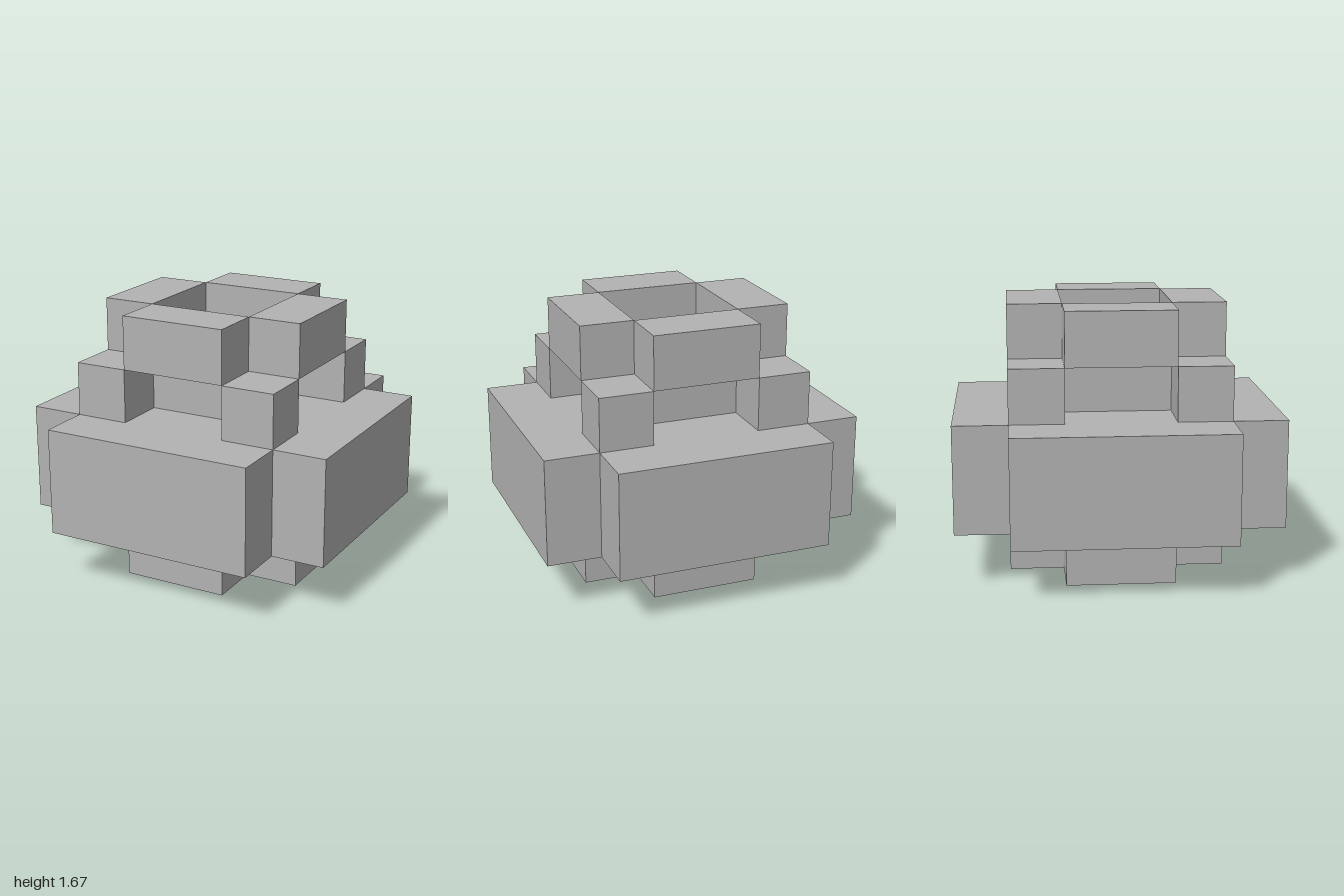
import * as THREE from 'three';

const U = 1 / 3; // size of one block

export function createModel() {
  const model = new THREE.Group();
  model.name = 'steppedBlocks';
  const grey = new THREE.MeshStandardMaterial({ color: 0xb2b2b2 });
  grey.name = 'grey';

  const add = (parent, name, geometry, x = 0, y = 0, z = 0) => {
    const mesh = new THREE.Mesh(geometry, grey);
    mesh.name = name;
    mesh.position.set(x * U, y * U, z * U);
    parent.add(mesh);
  };
  const box = (w, h, d) => new THREE.BoxGeometry(w * U, h * U, d * U);

  // Square slab with one-block notches at its corners, standing on its base
  const notchedSlab = (half, height) => {
    const a = half * U, b = (half - 1) * U;
    const outline = [
      [a, -b], [a, b], [b, b], [b, a], [-b, a], [-b, b],
      [-a, b], [-a, -b], [-b, -b], [-b, -a], [b, -a], [b, -b],
    ].map(([x, y]) => new THREE.Vector2(x, y));
    const geometry = new THREE.ExtrudeGeometry(new THREE.Shape(outline), {
      depth: height * U, bevelEnabled: false,
    });
    return geometry.rotateX(-Math.PI / 2);
  };

  // Foot and wide body
  add(model, 'foot', notchedSlab(2, 1));
  add(model, 'body', notchedSlab(3, 2), 0, 1, 0);

  // Neck: a centre block with a small cube off each corner
  const neck = new THREE.Group();
  neck.name = 'neck';
  model.add(neck);
  add(neck, 'centreBlock', box(2, 1, 2), 0, 3.5, 0);
  for (const x of [-1.5, 1.5]) {
    for (const z of [-1.5, 1.5]) add(neck, 'cornerCube', box(1, 1, 1), x, 3.5, z);
  }

  // Rim: four bars around an open square
  const rim = new THREE.Group();
  rim.name = 'rim';
  model.add(rim);
  for (const s of [-1.5, 1.5]) {
    add(rim, 'sideBar', box(1, 1, 2), s, 4.5, 0);
    add(rim, 'crossBar', box(2, 1, 1), 0, 4.5, s);
  }
  return model;
}
